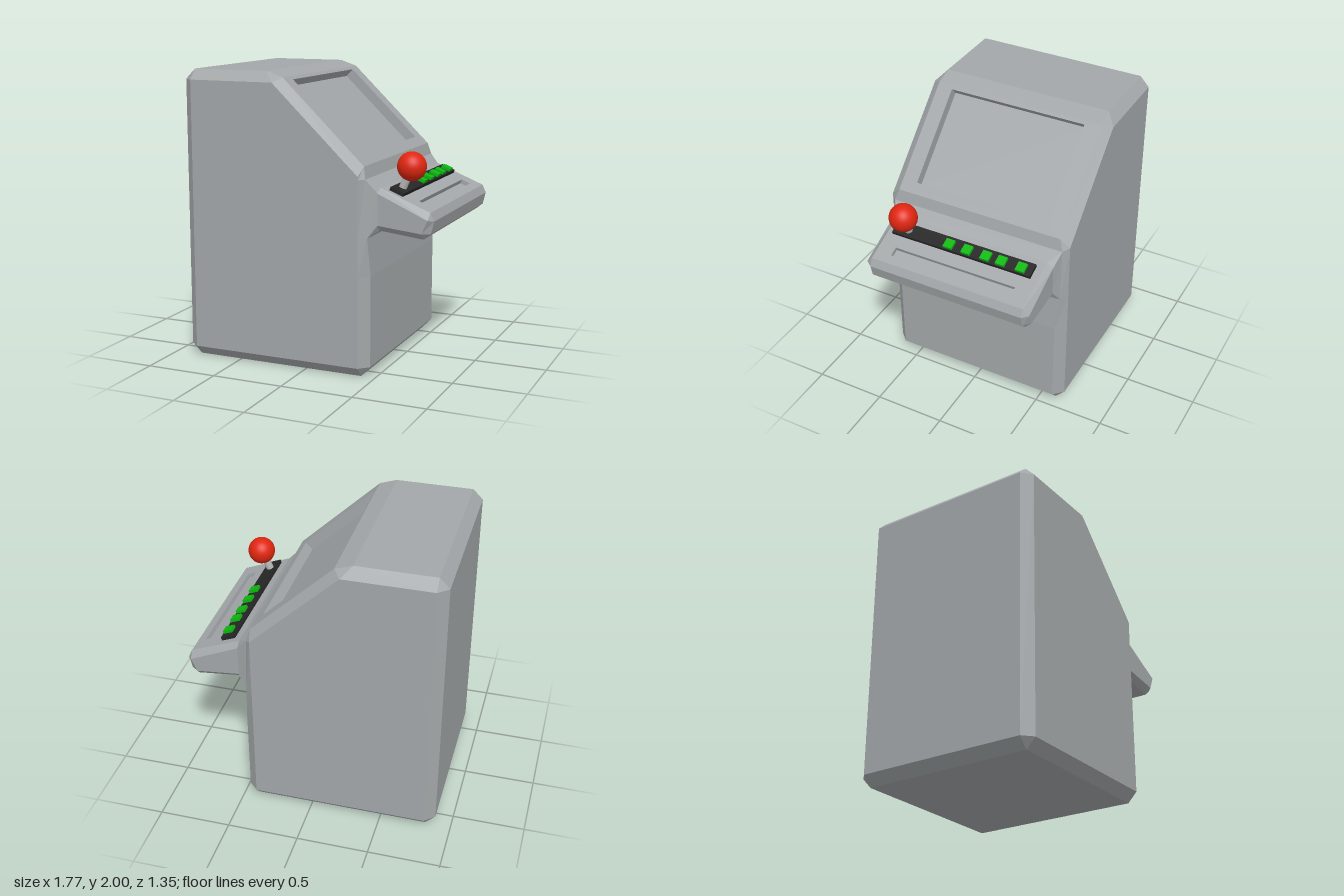
import * as THREE from 'three';

const material = (name, color) => {
  const m = new THREE.MeshStandardMaterial({ color });
  m.name = name;
  return m;
};

// Collects flat polygons into one hard-edged geometry
class FaceBuilder {
  constructor() { this.positions = []; }
  face(...pts) {
    for (let i = 1; i < pts.length - 1; i++) {
      const t = new THREE.Triangle(pts[0], pts[i], pts[i + 1]);
      if (t.getArea() < 1e-7) continue;
      for (const p of [t.a, t.b, t.c]) this.positions.push(p.x, p.y, p.z);
    }
  }
  mesh(name, mat) {
    const g = new THREE.BufferGeometry();
    g.setAttribute('position', new THREE.Float32BufferAttribute(this.positions, 3));
    g.computeVertexNormals();
    const m = new THREE.Mesh(g, mat);
    m.name = name;
    return m;
  }
}

// Panel with a sunken rectangle; s0..s1 runs along the panel, halfZ across it
function recessedPanel(b, o, s0, s1, halfZ, depth) {
  const at = (s, z) => new THREE.Vector3().lerpVectors(o[0], o[3], s).setZ(z);
  const hole = [at(s0, halfZ), at(s0, -halfZ), at(s1, -halfZ), at(s1, halfZ)];
  const normal = new THREE.Triangle(o[0], o[1], o[2]).getNormal(new THREE.Vector3());
  const floor = hole.map(p => p.clone().addScaledVector(normal, -depth));
  for (let k = 0; k < 4; k++) {
    const n = (k + 1) % 4;
    b.face(o[k], o[n], hole[n], hole[k]);
    b.face(hole[k], hole[n], floor[n], floor[k]);
  }
  b.face(...floor);
}

// Symmetric chamfered solid: side and rim are matching counterclockwise rings at +z
function chamferedSolid(side, rim, caps, recess, skip = -1) {
  const b = new FaceBuilder();
  const ring = (pts, s) => pts.map(([x, y, z]) => new THREE.Vector3(x, y, z * s));
  const rings = [ring(side, 1), ring(rim, 1), ring(rim, -1), ring(side, -1)];
  const n = rim.length;
  for (let r = 0; r < 3; r++) {
    for (let i = 0; i < n; i++) {
      if (i === skip) continue;
      const j = (i + 1) % n, u = rings[r], l = rings[r + 1];
      const quad = [u[i], l[i], l[j], u[j]];
      if (r === 1 && i === recess.edge) {
        recessedPanel(b, quad, recess.s0, recess.s1, recess.halfZ, recess.depth);
      } else b.face(...quad);
    }
  }
  for (const cap of caps) {
    b.face(...cap.map(i => rings[0][i]));
    b.face(...cap.map(i => rings[3][i]).reverse());
  }
  return b;
}

export function createModel() {
  const grey = material('cabinetGrey', 0xa3a7a9);
  const black = material('panelBlack', 0x262626);
  const green = material('buttonGreen', 0x0cb80f);
  const red = material('ballRed', 0xe02610);
  const metal = material('shaftMetal', 0xb4b4b4);

  const group = new THREE.Group();
  group.name = 'arcadeCabinet';

  // Cabinet with sunken screen in the sloping face
  const Z = 0.61, S = 0.675, N = 0.637;
  const rim = [
    [-0.89, 0.07, Z], [-0.82, 0, Z], [0.4, 0, Z], [0.465, 0.07, Z],
    [0.465, 0.69, Z], [0.45, 0.945, N], [0.435, 1.33, N], [0.415, 1.41, Z],
    [-0.16, 1.96, Z], [-0.28, 2, Z], [-0.82, 2, Z], [-0.89, 1.93, Z],
  ];
  const side = [
    [-0.82, 0.07, S], [-0.82, 0.07, S], [0.4, 0.07, S], [0.4, 0.07, S],
    [0.4, 0.69, S], [0.4, 0.945, S], [0.4, 1.33, S], [0.4, 1.35, S],
    [-0.21, 1.93, S], [-0.21, 1.93, S], [-0.82, 1.93, S], [-0.82, 1.93, S],
  ];
  group.add(chamferedSolid(side, rim, [rim.map((_, i) => i)],
    { edge: 7, s0: 0.1, s1: 0.965, halfZ: 0.5, depth: 0.07 }).mesh('cabinet', grey));

  // Control shelf with flared neck and a sunken slot
  const R = 0.567;
  const shelfRim = [
    [0.45, 0.945, N], [0.51, 0.99, R], [0.81, 0.957, R], [0.86, 0.997, R],
    [0.88, 1.08, R], [0.855, 1.135, R], [0.51, 1.272, R], [0.435, 1.33, N],
  ];
  const shelfSide = [
    [0.45, 0.945, N], [0.51, 1.03, Z], [0.81, 1.0, Z], [0.81, 1.0, Z],
    [0.85, 1.09, Z], [0.85, 1.09, Z], [0.51, 1.24, Z], [0.435, 1.33, N],
  ];
  group.add(chamferedSolid(shelfSide, shelfRim, [[1, 2, 3, 4, 5, 6], [0, 1, 6, 7]],
    { edge: 5, s0: 0.17, s1: 0.345, halfZ: 0.45, depth: 0.03 }, 7).mesh('controlShelf', grey));

  // Tilted control strip and its buttons
  const tilt = Math.atan2(-0.137, 0.345);
  const tiltedBox = (name, mat, w, h, d, x, y, z) => {
    const m = new THREE.Mesh(new THREE.BoxGeometry(w, h, d), mat);
    m.name = name;
    m.position.set(x, y, z);
    m.rotation.z = tilt;
    group.add(m);
  };
  tiltedBox('controlStrip', black, 0.101, 0.026, 1.04, 0.608, 1.245, 0.005);
  for (const z of [-0.438, -0.293, -0.178, -0.037, 0.098]) {
    tiltedBox('button', green, 0.067, 0.024, 0.065, 0.625, 1.261, z);
  }

  // Joystick: leaning shaft and ball
  const base = new THREE.Vector3(0.606, 1.243, 0.42);
  const top = new THREE.Vector3(0.672, 1.4, 0.418);
  const dir = top.clone().sub(base);
  const shaft = new THREE.Mesh(new THREE.CylinderGeometry(0.027, 0.027, dir.length(), 16), metal);
  shaft.name = 'joystickShaft';
  shaft.position.copy(base).lerp(top, 0.5);
  shaft.quaternion.setFromUnitVectors(new THREE.Vector3(0, 1, 0), dir.normalize());
  const ball = new THREE.Mesh(new THREE.SphereGeometry(0.097, 32, 20), red);
  ball.name = 'joystickBall';
  ball.position.copy(top);
  group.add(shaft, ball);

  return group;
}
